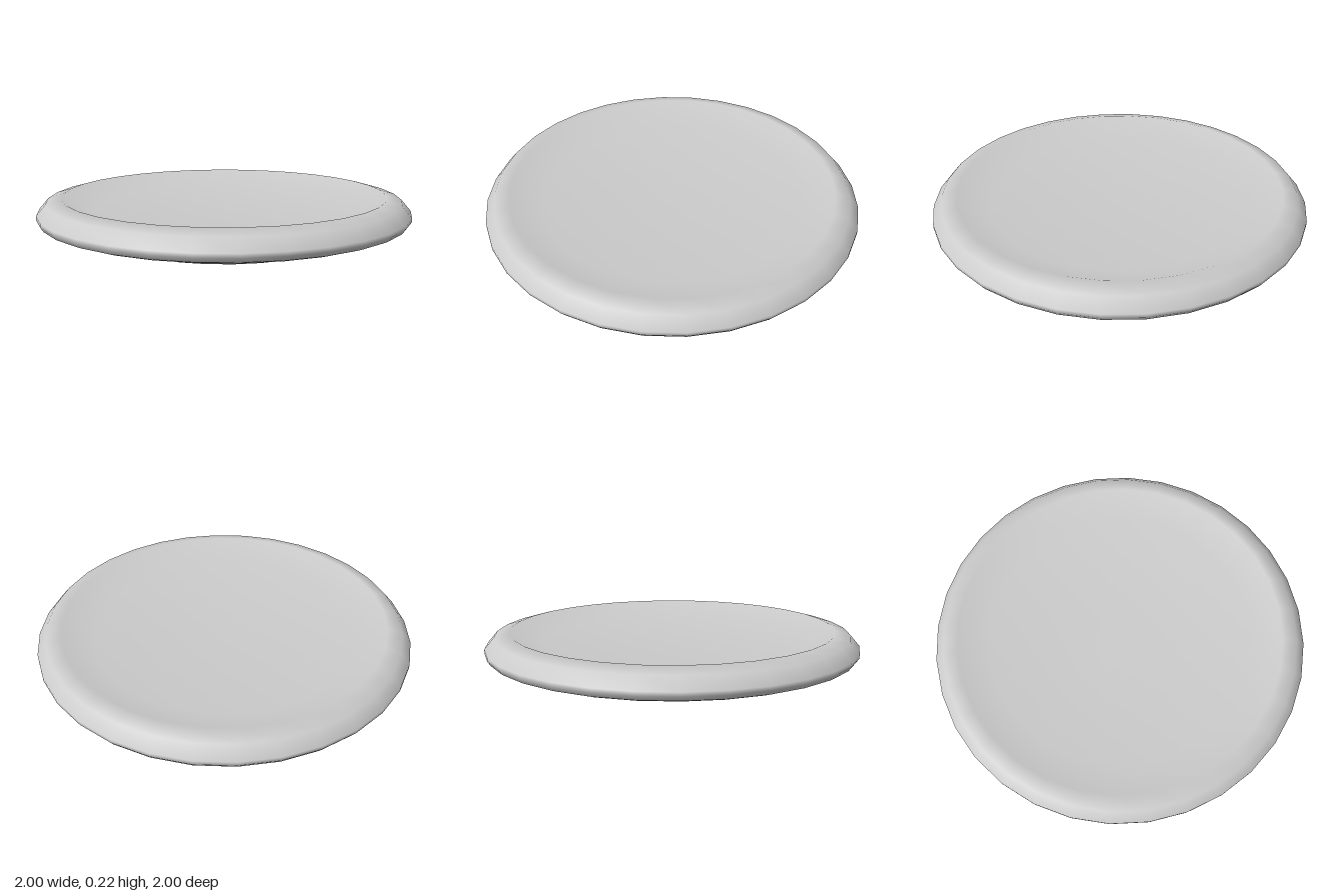
import * as THREE from 'three';

const SEGMENTS = 32;

// Half cross-section as [radius, height], from the base centre round to the bowl centre
const PROFILE = [
  [0, 0], [0.65, 0], [0.65, 0.05],                        // flat base and foot wall
  [0.95, 0.09], [0.985, 0.103], [1, 0.125],               // sloping underside
  [1, 0.145], [0.95, 0.203], [0.87, 0.225],               // rounded rim
  [0.7, 0.15], [0, 0.15],                                 // bowl wall and floor
];

export function createModel() {
  const model = new THREE.Group();
  model.name = 'plate';

  // Turned plate, smooth all round
  const points = PROFILE.map(([r, y]) => new THREE.Vector2(r, y));
  const dish = new THREE.Mesh(
    new THREE.LatheGeometry(points, SEGMENTS),
    new THREE.MeshStandardMaterial({ color: 0xcccccc }),
  );
  dish.name = 'dish';
  model.add(dish);

  return model;
}
